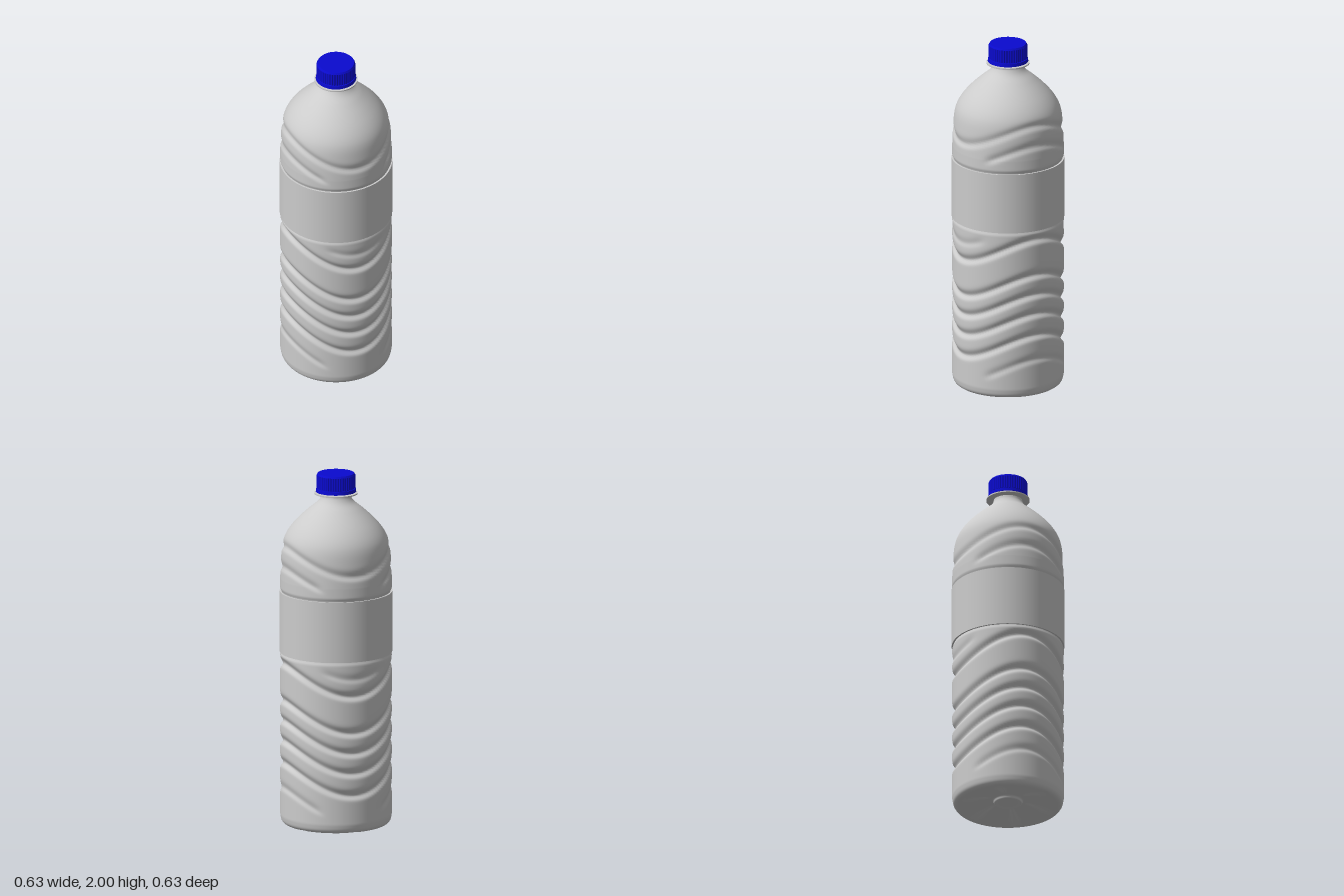
import * as THREE from 'three';
import { mergeVertices } from 'three/addons/utils/BufferGeometryUtils.js';

const V = (x, y) => new THREE.Vector2(x, y);
const spline = (pairs, n) => new THREE.SplineCurve(pairs.map(([x, y]) => V(x, y))).getPoints(n);
const smooth = THREE.MathUtils.smoothstep;

// Wavy grooves: mean height, depth, and where they run (all round, sides only, front and back only)
const WAVE = 0.073;
const grooves = [
  ...[0.29, 0.415, 0.53, 0.645, 0.855].map((y) => ({ y, depth: 0.018, zone: 'all' })),
  { y: 1.53, depth: 0.012, zone: 'all' },
  { y: 0.15, depth: 0.009, zone: 'sides' },
  { y: 1.415, depth: 0.011, zone: 'sides' },
  { y: 0.955, depth: 0.007, zone: 'ends' },
];

function grooveDepth(angle, y) {
  const side = Math.abs(Math.sin(angle));
  const wave = -(y > 1.3 ? 0.063 : WAVE) * Math.cos(2 * angle);
  let sum = 0;
  for (const g of grooves) {
    const d = y - g.y - wave;
    if (Math.abs(d) > 0.1) continue;
    const mask = g.zone === 'all' ? 1
      : g.zone === 'sides' ? smooth(side, 0.5, 0.7) : 1 - smooth(side, 0.4, 0.62);
    const width = d > 0 ? 0.026 : 0.015;
    sum += g.depth * mask * Math.exp(-((d / width) ** 2));
  }
  // fade out beside the label band
  return sum * (1 - smooth(y, 0.95, 0.975) * (1 - smooth(y, 1.34, 1.36)));
}

function bodyGeometry() {
  const points = [
    // concave base and rounded foot
    ...spline([[0, 0.03], [0.05, 0.03], [0.075, 0.022], [0.09, 0.04], [0.16, 0.03], [0.23, 0.01],
      [0.265, 0.003], [0.29, 0.009], [0.304, 0.025], [0.31, 0.05]], 45),
  ];
  // straight wall, drawn in slightly behind the label
  for (let y = 0.057; y < 1.4; y += 0.0075) {
    const tuck = smooth(y, 0.965, 0.985) * (1 - smooth(y, 1.33, 1.35));
    points.push(V(0.311 - 0.007 * tuck, y));
  }
  // shoulder and neck
  points.push(...spline([[0.311, 1.405], [0.309, 1.45], [0.305, 1.53], [0.297, 1.6], [0.28, 1.65],
    [0.248, 1.7], [0.203, 1.75], [0.148, 1.8], [0.105, 1.835], [0.086, 1.86], [0.08, 1.88], [0.08, 1.9]], 80));

  const geo = new THREE.LatheGeometry(points, 112);
  const p = geo.attributes.position;
  for (let i = 0; i < p.count; i++) {
    const x = p.getX(i), y = p.getY(i), z = p.getZ(i);
    const r = Math.hypot(x, z), angle = Math.atan2(x, z);
    if (y < 0.05 && r < 0.3) {
      // radial creases under the base
      const crease = Math.max(0, Math.cos(6 * angle)) ** 10;
      p.setY(i, y + 0.012 * crease * smooth(r, 0.085, 0.13) * (1 - smooth(r, 0.25, 0.295)));
    } else if (r > 0.2) {
      const k = (r - grooveDepth(angle, y)) / r;
      p.setX(i, x * k);
      p.setZ(i, z * k);
    }
  }
  geo.deleteAttribute('uv');
  geo.deleteAttribute('normal');
  const welded = mergeVertices(geo, 1e-5);
  welded.computeVertexNormals();
  return welded;
}

// Closed cap outline with fine vertical ribs
function capRibs(radius, depth, height, count) {
  const shape = new THREE.Shape();
  for (let i = 0; i < count * 4; i++) {
    const a = (i / (count * 4)) * Math.PI * 2;
    const r = radius - (i % 4 < 2 ? 0 : depth);
    if (i) shape.lineTo(r * Math.cos(a), r * Math.sin(a));
    else shape.moveTo(r, 0);
  }
  shape.closePath();
  const geo = new THREE.ExtrudeGeometry(shape, { depth: height, bevelEnabled: false });
  return geo.rotateX(-Math.PI / 2);
}

export function createModel() {
  const bottle = new THREE.Group();
  bottle.name = 'bottle';
  const plastic = new THREE.MeshStandardMaterial({ color: 0xcccccc });
  plastic.name = 'grey plastic';
  const blue = new THREE.MeshStandardMaterial({ color: 0x0a0ad0 });
  blue.name = 'blue cap';

  const add = (name, geo, mat, y = 0, parent = bottle) => {
    const mesh = new THREE.Mesh(geo, mat);
    mesh.name = name;
    mesh.position.y = y;
    parent.add(mesh);
    return mesh;
  };

  add('body', bodyGeometry(), plastic);
  add('labelBand', new THREE.CylinderGeometry(0.314, 0.314, 0.345, 72), plastic, 1.157);
  add('neckRing', new THREE.CylinderGeometry(0.121, 0.121, 0.007, 64), plastic, 1.886);

  // Screw cap: tamper ring, ribbed skirt, chamfered top
  const cap = new THREE.Group();
  cap.name = 'cap';
  bottle.add(cap);
  add('tamperRing', new THREE.CylinderGeometry(0.11, 0.113, 0.019, 64), blue, 1.9045, cap);
  add('capCore', new THREE.CylinderGeometry(0.102, 0.102, 0.08, 64), blue, 1.945, cap);
  add('capSkirt', capRibs(0.108, 0.003, 0.073, 48), blue, 1.917, cap);
  add('capTop', new THREE.CylinderGeometry(0.101, 0.107, 0.01, 64), blue, 1.995, cap);
  return bottle;
}
